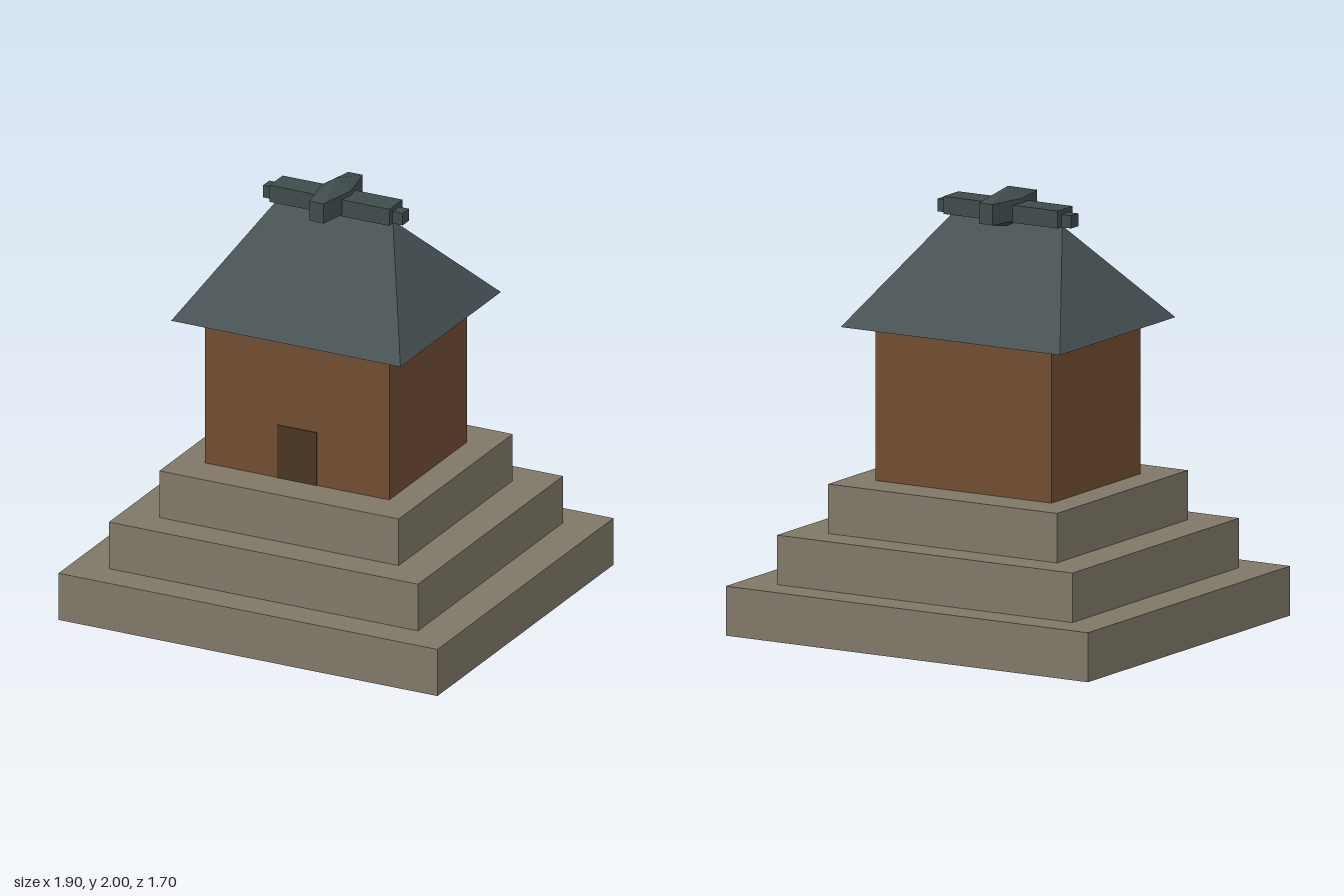
import * as THREE from 'three';
import { ConvexGeometry } from 'three/addons/geometries/ConvexGeometry.js';

const paint = (name, color) => {
  const m = new THREE.MeshStandardMaterial({ color, side: THREE.DoubleSide, flatShading: true });
  m.name = name;
  return m;
};

export function createModel() {
  const model = new THREE.Group();
  const stone = paint('stone', 0x7f7768);
  const wood = paint('wood', 0x704c31);
  const doorWood = paint('door wood', 0x4a3422);
  const slate = paint('slate', 0x475254);
  const ridgeSlate = paint('ridge slate', 0x3f4b4c);

  const add = (name, geometry, material) => {
    const mesh = new THREE.Mesh(geometry, material);
    mesh.name = name;
    model.add(mesh);
    return mesh;
  };

  // Box given by half width, half depth, bottom and top; may be open underneath
  const block = (name, hx, hz, y0, y1, material, open = false) => {
    const g = new THREE.BoxGeometry(2 * hx, y1 - y0, 2 * hz);
    if (open) {
      const index = Array.from(g.index.array);
      index.splice(18, 6); // underside
      g.setIndex(index);
      g.clearGroups();
    }
    g.translate(0, (y0 + y1) / 2, 0);
    return add(name, g, material);
  };

  // Stepped, hollow plinth
  [[0.95, 0.85], [0.775, 0.7], [0.6, 0.55]].forEach(([hx, hz], i) =>
    block(`plinthStep${i + 1}`, hx, hz, i * 0.225, (i + 1) * 0.225, stone, true));

  // Walls run down through the plinth onto a small footing
  block('footing', 0.485, 0.39, 0.03, 0.137, stone, true);
  block('walls', 0.462, 0.375, 0.137, 1.38, wood, true);

  // Door on the front wall
  block('door', 0.1, 0.004, 0.675, 0.93, doorWood).position.z = 0.375;

  // Hipped roof: a box whose top is drawn in to the ridge line
  const roof = block('roof', 0.575, 0.485, 1.38, 1.85, slate, true).geometry;
  const p = roof.attributes.position;
  for (let i = 0; i < p.count; i++) {
    if (p.getY(i) > 1.6) p.setXYZ(i, Math.sign(p.getX(i)) * 0.285, 1.85, 0);
  }
  roof.computeVertexNormals();

  // Ridge beam with a smaller stub through each end
  block('ridgeBeam', 0.3, 0.063, 1.85, 1.93, ridgeSlate);
  block('ridgeStubs', 0.35, 0.03, 1.85, 1.908, ridgeSlate);

  // Cross piece: six-sided in plan, peaked above and below
  const points = [new THREE.Vector3(0, 2, 0), new THREE.Vector3(0, 1.815, 0)];
  for (const y of [1.857, 1.952]) {
    for (const s of [-1, 1]) {
      points.push(new THREE.Vector3(s * 0.075, y, 0));
      for (const z of [-0.188, 0.188]) points.push(new THREE.Vector3(s * 0.036, y, z));
    }
  }
  add('ridgeCrossPiece', new ConvexGeometry(points), ridgeSlate);

  return model;
}
